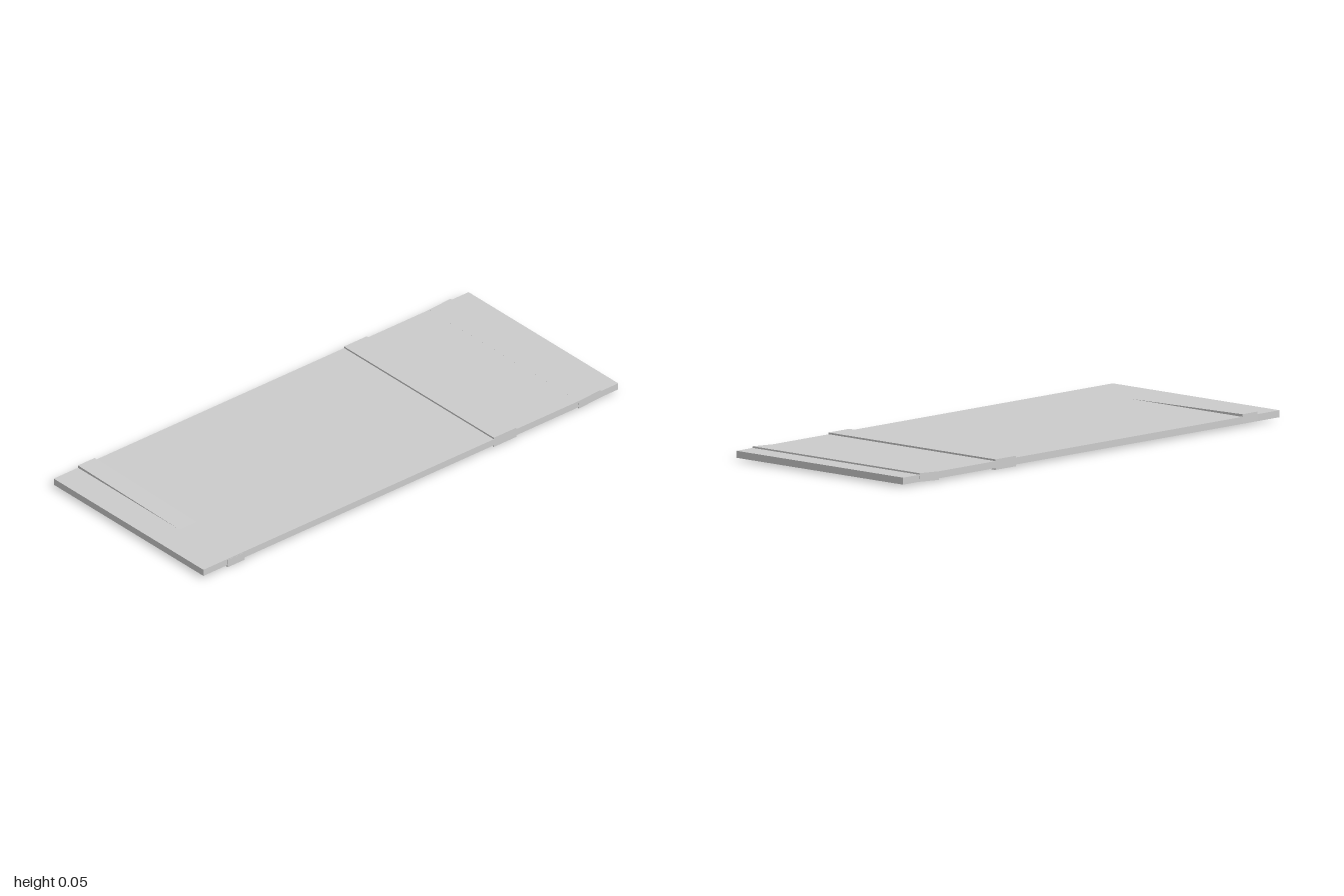
import * as THREE from 'three';

const material = new THREE.MeshStandardMaterial({ color: 0xcccccc, flatShading: true });
const DEPTH = 0.84;
const MID = 0.024; // height of the slab's centre plane

export function createModel() {
  const group = new THREE.Group();

  function addBoard(name, x, width, height, depth, tiltX = 0, tiltZ = 0) {
    const mesh = new THREE.Mesh(new THREE.BoxGeometry(width, height, depth), material);
    mesh.name = name;
    mesh.position.set(x, MID, 0);
    mesh.rotation.set(tiltX, 0, tiltZ);
    group.add(mesh);
  }

  // Long flat panel
  addBoard('panel', 0, 2, 0.026, DEPTH);

  // Cross battens: one straight, two slightly tilted through the panel
  addBoard('middleBatten', 0.455, 0.11, 0.039, DEPTH + 0.001);
  addBoard('leftBatten', 0.862, 0.105, 0.032, DEPTH + 0.001, 0, 0.055);
  addBoard('rightBatten', -0.843, 0.08, 0.031, DEPTH + 0.001, 0.017);

  return group;
}
